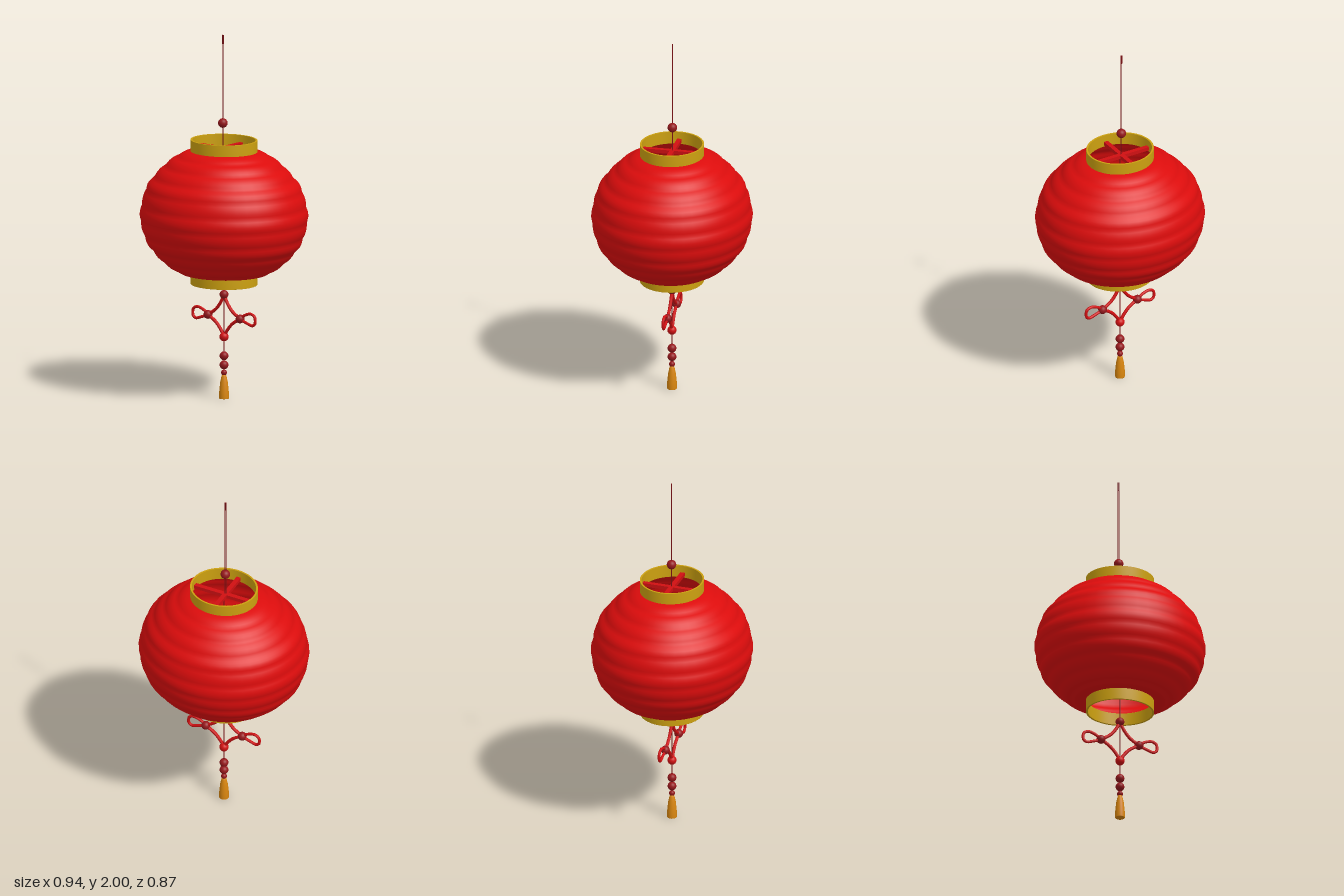
import * as THREE from 'three';

const mat = (name, color, side = THREE.FrontSide) => {
  const m = new THREE.MeshStandardMaterial({ color, side });
  m.name = name;
  return m;
};

export function createModel() {
  const red = mat('lantern red', 0xdc0c0c, THREE.DoubleSide);
  const cordRed = mat('cord red', 0xd01012);
  const beadRed = mat('bead dark red', 0x96181c);
  const gold = mat('rim gold', 0xcca010);
  const orange = mat('tassel orange', 0xd9860f);
  const stringRed = mat('string maroon', 0x7a1014);

  const model = new THREE.Group();
  model.name = 'paperLantern';
  const add = (name, geometry, material, x = 0, y = 0, z = 0) => {
    const mesh = new THREE.Mesh(geometry, material);
    mesh.name = name;
    mesh.position.set(x, y, z);
    model.add(mesh);
    return mesh;
  };
  const v2 = (x, y) => new THREE.Vector2(x, y);
  const v3 = (x, y, z = 0) => new THREE.Vector3(x, y, z);
  const bead = (name, x, y, r, material = beadRed) =>
    add(name, new THREE.SphereGeometry(r, 20, 14), material, x, y);
  const tube = (name, points, r, material) =>
    add(name, new THREE.TubeGeometry(new THREE.CatmullRomCurve3(points), 40, r, 8), material);

  // Oval paper shade: smooth outline with shallow scalloped ribs
  const outline = new THREE.SplineCurve([
    v2(0.185, 0.695), v2(0.25, 0.7), v2(0.335, 0.755), v2(0.397, 0.82), v2(0.43, 0.87),
    v2(0.456, 0.955), v2(0.461, 1.03), v2(0.43, 1.15), v2(0.396, 1.2),
    v2(0.353, 1.25), v2(0.275, 1.317), v2(0.183, 1.362),
  ]);
  const ribs = 11, steps = 6, profile = [];
  for (let i = 0; i <= ribs * steps; i++) {
    const t = i / (ribs * steps);
    const p = outline.getPointAt(t), d = outline.getTangentAt(t);
    const bulge = 0.006 * Math.sin(Math.PI * (i % steps) / steps);
    profile.push(v2(p.x + d.y * bulge, p.y - d.x * bulge));
  }
  const shade = add('paperShade', new THREE.LatheGeometry(profile, 48), red);
  shade.scale.z = 0.93;

  // Hollow gold rims, with tight bevels at the corners
  const rim = (name, y0, y1) => {
    const ro = 0.187, ri = 0.176, b = 0.001;
    const pts = [
      v2(ri, y0 + b), v2(ri + b, y0), v2(ro - b, y0), v2(ro, y0 + b),
      v2(ro, y1 - b), v2(ro - b, y1), v2(ri + b, y1), v2(ri, y1 - b), v2(ri, y0 + b),
    ];
    add(name, new THREE.LatheGeometry(pts, 48), gold).scale.z = 0.925;
  };
  rim('topRim', 1.355, 1.424);
  rim('bottomRim', 0.63, 0.7);

  // Cross bars holding the hanging string
  add('crossBarWide', new THREE.BoxGeometry(0.36, 0.02, 0.025), cordRed, 0, 1.375, 0);
  add('crossBarDeep', new THREE.BoxGeometry(0.025, 0.02, 0.33), cordRed, -0.008, 1.375, 0);

  // Doubled hanging string, tied at the top
  for (const x of [-0.012, -0.004])
    add('hangingString', new THREE.CylinderGeometry(0.0018, 0.0018, 0.61, 6), stringRed, x, 1.68, 0);
  add('stringTie', new THREE.BoxGeometry(0.01, 0.05, 0.004), stringRed, -0.008, 1.975, 0);
  bead('hangingBead', -0.008, 1.515, 0.026);

  // Lamp inside the shade
  add('lampHolder', new THREE.CylinderGeometry(0.069, 0.069, 0.04, 32), cordRed, 0, 0.95, 0);
  add('lamp', new THREE.SphereGeometry(0.062, 24, 16), orange, 0, 1.0, 0);

  // String through the lamp and down to the tassel
  add('innerString', new THREE.CylinderGeometry(0.0025, 0.0025, 1.235, 6), stringRed, 0, 0.7575, 0)
    .scale.set(1, 1, 1);

  // Knot: four inward-curving cords with a loop on each side
  for (const s of [-1, 1]) {
    tube('knotUpperCord', [v3(0, 0.575), v3(s * 0.018, 0.535), v3(s * 0.055, 0.487), v3(s * 0.11, 0.45)], 0.009, cordRed);
    tube('knotLowerCord', [v3(0, 0.34), v3(s * 0.018, 0.372), v3(s * 0.055, 0.415), v3(s * 0.11, 0.45)], 0.009, cordRed);
    tube('knotLoop', [
      v3(s * 0.11, 0.452), v3(s * 0.145, 0.475), v3(s * 0.185, 0.485), v3(s * 0.21, 0.471),
      v3(s * 0.212, 0.435), v3(s * 0.195, 0.422), v3(s * 0.155, 0.432), v3(s * 0.11, 0.448),
    ], 0.008, cordRed);
    bead('knotSideBead', s * 0.11, 0.45, 0.024);
  }
  bead('knotTopBead', 0, 0.573, 0.024);
  bead('knotBottomBead', 0, 0.34, 0.025, cordRed);

  // Tassel with its beads
  bead('tasselBeadUpper', 0, 0.235, 0.024);
  bead('tasselBeadLower', 0, 0.185, 0.024);
  bead('tasselBeadSmall', 0, 0.143, 0.016);
  const tasselProfile = [
    v2(0, 0), v2(0.025, 0), v2(0.0265, 0.002), v2(0.026, 0.04),
    v2(0.021, 0.09), v2(0.014, 0.122), v2(0.01, 0.133), v2(0, 0.134),
  ];
  add('tassel', new THREE.LatheGeometry(tasselProfile, 24), orange);

  return model;
}
